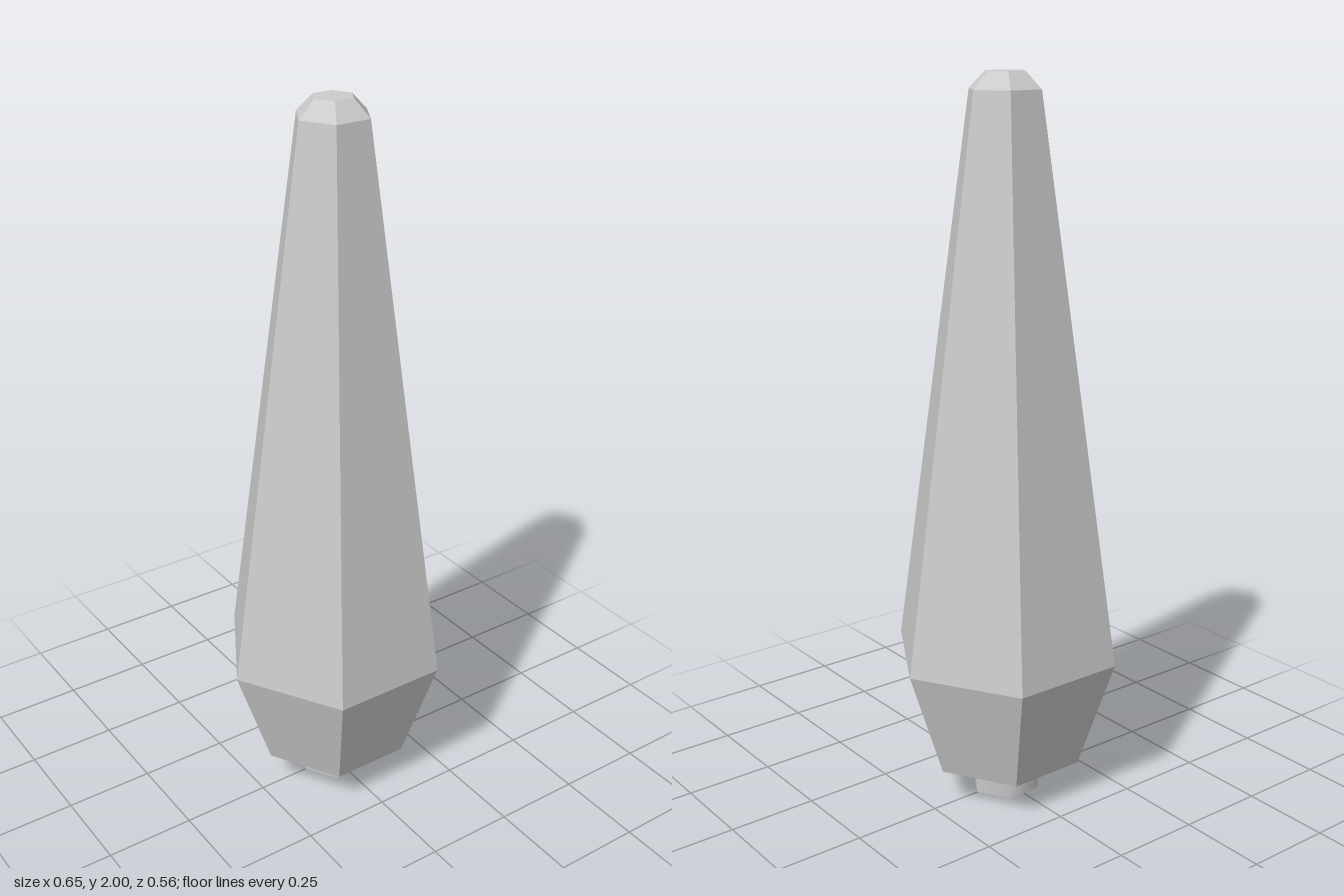
import * as THREE from 'three';

const SIDES = 6;

export function createModel() {
  const group = new THREE.Group();
  group.name = 'facetedSpike';

  // Six-sided faceted body: base, shoulder, long taper and chamfered tip
  const profile = [
    [0, 0.105], [0.22, 0.105], [0.325, 0.42], [0.1, 1.955], [0.055, 2], [0, 2],
  ].map(([r, y]) => new THREE.Vector2(r, y));
  const body = new THREE.Mesh(
    new THREE.LatheGeometry(profile, SIDES, Math.PI / 2),
    new THREE.MeshStandardMaterial({ color: 0xcccccc, flatShading: true }),
  );
  body.name = 'body';
  group.add(body);

  // Short mounting peg with smooth-shaded sides
  const peg = new THREE.Mesh(
    new THREE.CylinderGeometry(0.1, 0.1, 0.105, SIDES, 1, false, Math.PI / 2),
    new THREE.MeshStandardMaterial({ color: 0xcccccc }),
  );
  peg.name = 'peg';
  peg.position.y = 0.0525;
  group.add(peg);

  return group;
}
